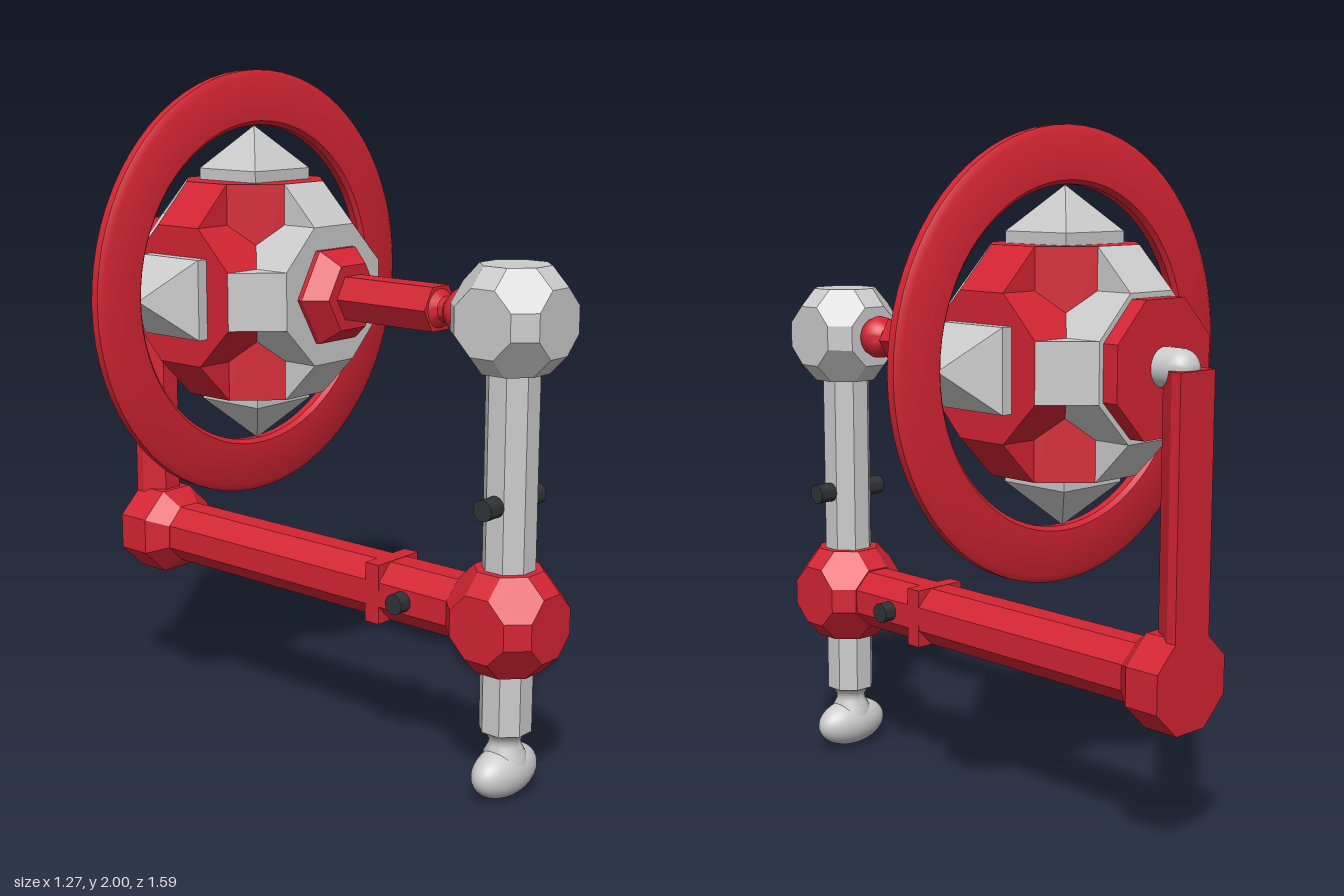
import * as THREE from 'three';
import { toCreasedNormals } from 'three/addons/utils/BufferGeometryUtils.js';
import { ConvexGeometry } from 'three/addons/geometries/ConvexGeometry.js';

const grey = new THREE.MeshStandardMaterial({ color: 0xcccccc, flatShading: true });
const red = new THREE.MeshStandardMaterial({ color: 0xd42433, flatShading: true });
const dark = new THREE.MeshStandardMaterial({ color: 0x303335 });
const smoothGrey = new THREE.MeshStandardMaterial({ color: 0xcccccc });
const smoothRed = new THREE.MeshStandardMaterial({ color: 0xd42433 });

const AXLE_Y = 1.363, BALL_Z = -0.31, POST_Z = 0.65, BEAM_Y = 0.525;

// Turn a geometry built along y so that it runs along the given axis
function along(geo, axis) {
  if (axis === 'x') geo.rotateZ(-Math.PI / 2);
  if (axis === 'z') geo.rotateX(Math.PI / 2);
  return geo;
}

// n-sided prism or frustum, sized by the distance from its axis to its flats
function prism(n, topFlat, bottomFlat, length, axis = 'y') {
  const k = 1 / Math.cos(Math.PI / n);
  const geo = new THREE.CylinderGeometry(topFlat * k, bottomFlat * k, length, n);
  return along(geo.rotateY(Math.PI / n), axis);
}

// Faceted knob with octagon, hexagon and square faces
function facetedKnob(half) {
  const s = half / (1 + 2 * Math.SQRT2);
  const a = s, b = s * (1 + Math.SQRT2), c = half;
  const points = [];
  for (const [x, y, z] of [[a, b, c], [a, c, b], [b, a, c], [b, c, a], [c, a, b], [c, b, a]])
    for (const i of [-1, 1]) for (const j of [-1, 1]) for (const k of [-1, 1])
      points.push(new THREE.Vector3(x * i, y * j, z * k));
  return new ConvexGeometry(points);
}

function lathe(points, segments, axis = 'y') {
  const geo = new THREE.LatheGeometry(points.map(p => new THREE.Vector2(...p)), segments);
  return along(toCreasedNormals(geo, 0.7), axis);
}

function polygon(points) {
  return new THREE.Shape(points.map(p => new THREE.Vector2(...p)));
}

function add(parent, name, geo, material, x = 0, y = 0, z = 0) {
  const mesh = new THREE.Mesh(geo, material);
  mesh.name = name;
  mesh.position.set(x, y, z);
  parent.add(mesh);
  return mesh;
}

// Core: three crossed octagonal prisms, joined by wedges, with four pyramids
function createCore() {
  const core = new THREE.Group();
  core.name = 'core';
  const flat = 0.2, reach = 0.317, edge = flat * (Math.SQRT2 - 1);

  for (const axis of ['x', 'y', 'z'])
    add(core, axis + 'CorePrism', prism(8, flat, flat, reach * 2, axis), axis === 'z' ? grey : red);

  const corner = polygon([[flat, flat], [reach, flat], [flat, reach]]);
  for (let i = 0; i < 4; i++) {
    const wedge = new THREE.ExtrudeGeometry(corner, { depth: edge * 2, bevelEnabled: false });
    wedge.translate(0, 0, -edge).rotateZ(i * Math.PI / 2);
    add(core, 'sideWedge', wedge, red);
    add(core, 'uprightWedge', wedge.clone().rotateY(Math.PI / 2), grey);
    add(core, 'levelWedge', wedge.clone().rotateX(Math.PI / 2), grey);

    const spike = new THREE.Group();
    spike.name = 'spike';
    spike.rotation.z = i * Math.PI / 2;
    add(spike, 'spikeBase', new THREE.BoxGeometry(0.23, 0.04, 0.23), grey, 0, 0.33);
    add(spike, 'spikePyramid', prism(4, 0, 0.115, 0.125), grey, 0, 0.4125);
    core.add(spike);
  }
  core.position.set(0, AXLE_Y, BALL_Z);
  return core;
}

export function createModel() {
  const model = new THREE.Group();
  model.name = 'ringStand';
  model.add(createCore());

  // Large bevelled ring around the core
  const ringProfile = [[0.475, -0.012], [0.487, -0.024], [0.615, -0.024], [0.635, -0.012],
    [0.635, 0.012], [0.615, 0.024], [0.487, 0.024], [0.475, 0.012], [0.475, -0.012]];
  add(model, 'ring', lathe(ringProfile, 72, 'z'), smoothRed, 0, AXLE_Y + 0.002, BALL_Z);

  // Front rod between the core and the upper knob
  add(model, 'rodFlange', prism(6, 0.092, 0.134, 0.06, 'z'), red, 0, AXLE_Y, 0.052);
  add(model, 'rodFlangeBase', prism(6, 0.134, 0.134, 0.02, 'z'), red, 0, AXLE_Y, 0.012);
  add(model, 'rod', prism(6, 0.062, 0.062, 0.33, 'z'), red, 0, AXLE_Y, 0.235);
  const jointProfile = [[0, 0.39], [0.055, 0.4], [0.036, 0.417], [0.036, 0.435], [0.05, 0.448],
    [0.063, 0.465], [0.065, 0.485], [0.058, 0.505], [0.04, 0.52], [0, 0.525]];
  add(model, 'rodJoint', lathe(jointProfile, 32, 'z'), smoothRed, 0, AXLE_Y, 0);

  // Front post with its two knobs and foot
  add(model, 'upperKnob', facetedKnob(0.145), grey, 0, AXLE_Y, POST_Z);
  add(model, 'lowerKnob', facetedKnob(0.145), red, 0, BEAM_Y, POST_Z);
  add(model, 'post', prism(8, 0.07, 0.07, 1.05), grey, 0, 0.725, POST_Z);
  const neckProfile = [[0, 0.08], [0.065, 0.1], [0.06, 0.13], [0.047, 0.155], [0.045, 0.17],
    [0.055, 0.188], [0.068, 0.2]];
  add(model, 'footNeck', lathe(neckProfile, 32), smoothGrey, 0, 0, POST_Z);
  const foot = new THREE.SphereGeometry(1, 40, 24).scale(0.126, 0.075, 0.07);
  add(model, 'foot', foot, smoothGrey, 0, 0.075, POST_Z);

  // Cross pegs through the post and the beam
  const peg = toCreasedNormals(along(new THREE.CylinderGeometry(0.03, 0.03, 0.256, 24), 'x'), 0.7);
  add(model, 'postPeg', peg, dark, 0, 0.857, POST_Z);
  add(model, 'beamPeg', peg, dark, 0, BEAM_Y, 0.345);

  // Lower beam with a square collar and a flared end
  add(model, 'beam', prism(8, 0.088, 0.088, 1.2, 'z'), red, 0, BEAM_Y, -0.03);
  add(model, 'beamCollar', new THREE.BoxGeometry(0.178, 0.178, 0.05), red, 0, BEAM_Y, 0.233);
  const flare = prism(8, 0.09, 0.14, 0.06, 'z').scale(1, 0.95, 1);
  add(model, 'beamFlare', flare, red, 0, BEAM_Y, -0.65);
  const end = prism(8, 0.14, 0.14, 0.11, 'z').scale(1, 0.95, 1);
  add(model, 'beamEnd', end, red, 0, BEAM_Y, -0.735);

  // Rear upright, bevelled on its inner face
  const section = polygon([[-0.07, 0.79], [-0.07, 0.76], [-0.03, 0.697], [0.03, 0.697], [0.07, 0.76], [0.07, 0.79]]);
  const upright = new THREE.ExtrudeGeometry(section, { depth: 0.72, bevelEnabled: false });
  add(model, 'rearUpright', upright.rotateX(-Math.PI / 2), red, 0, 0.648, 0);

  // Rear plate and rounded axle
  add(model, 'rearPlate', prism(8, 0.185, 0.185, 0.052, 'z'), red, 0, AXLE_Y, -0.65);
  const axleProfile = [[0.055, 0.66]];
  for (let i = 0; i <= 8; i++) {
    const t = i / 8 * Math.PI / 2;
    axleProfile.push([0.055 * Math.cos(t), 0.728 + 0.055 * Math.sin(t)]);
  }
  const axle = add(model, 'rearAxle', lathe(axleProfile, 32, 'z'), smoothGrey, 0, AXLE_Y + 0.005, 0);
  axle.rotation.y = Math.PI;

  return model;
}
